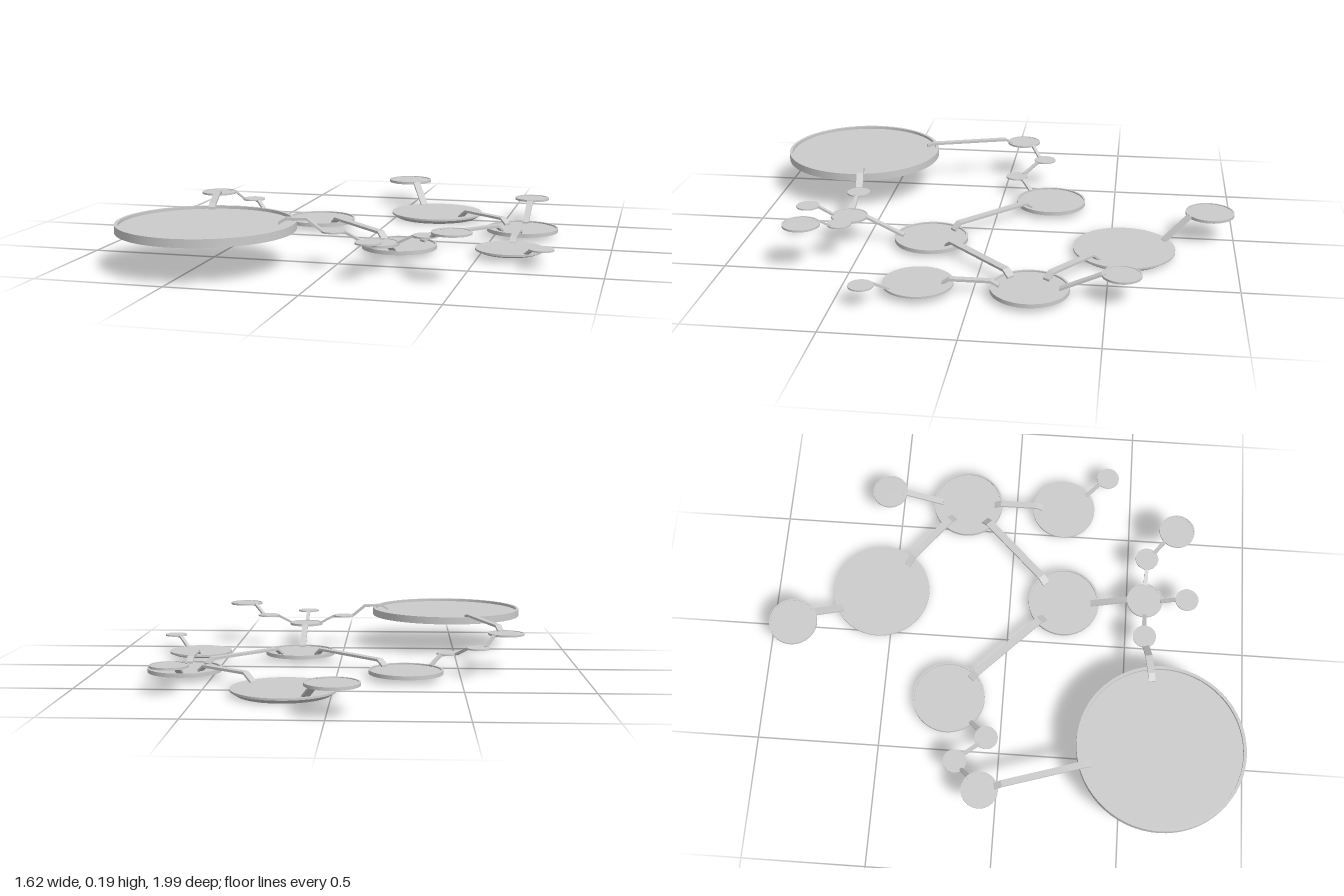
import * as THREE from 'three';

const material = new THREE.MeshStandardMaterial({ color: 0xcccccc, side: THREE.DoubleSide });

// Platforms: x, z, radius, top height, thickness, bottom inset, rim height
const discs = {
  large: [-0.47, 0.65, 0.34, 0.172, 0.032, 0, 0.012],
  west: [-0.28, -0.225, 0.15, 0.036, 0.016, 0, 0.006],
  centre: [0.18, 0.23, 0.15, 0.034, 0.016, 0, 0.006],
  east: [0.615, -0.215, 0.15, 0.036, 0.016, 0, 0.006],
  north: [0.18, -0.555, 0.205, 0.024, 0.024, 0.025, 0],
  farNorth: [-0.02, -0.9, 0.1, 0.115, 0.012, 0, 0.003],
  northEast: [0.615, -0.555, 0.075, 0.107, 0.009, 0, 0.002],
  south: [0.617, 0.207, 0.135, 0.034, 0.016, 0.02, 0],
  southEast: [0.76, 0.393, 0.048, 0.076, 0.006, 0, 0],
  hub: [0.18, 0.57, 0.075, 0.109, 0.01, 0, 0.002],
  hubWest: [0.005, 0.57, 0.048, 0.144, 0.006, 0, 0],
  hubEast: [0.355, 0.57, 0.048, 0.144, 0.006, 0, 0],
  hubSouth: [0.18, 0.743, 0.048, 0.144, 0.006, 0, 0],
  outerEast: [0.473, 0.69, 0.074, 0.186, 0.008, 0, 0.002],
  stepLow: [-0.455, -0.055, 0.048, 0.076, 0.006, 0, 0],
  stepMid: [-0.572, -0.173, 0.048, 0.118, 0.006, 0, 0],
  stepHigh: [-0.692, -0.063, 0.074, 0.162, 0.008, 0, 0.002],
};

// Bridges with a raised flat span: from, to, width, deck height, end insets
const arches = [
  ['west', 'centre', 0.032, 0.06, 0.03, 0.04],
  ['centre', 'east', 0.032, 0.06, 0.04, 0.04],
  ['north', 'east', 0.03, 0.06, 0.045, 0.06],
  ['east', 'south', 0.026, 0.056, 0.035, 0.045],
  ['large', 'hubWest', 0.028, 0.192, 0.065, 0.005],
  ['stepHigh', 'large', 0.027, 0.182, 0.015, 0.05],
];

// Ramps climbing from a lower to a higher platform: from, to, width, inset
const ramps = [
  ['east', 'northEast', 0.026, 0.04],
  ['north', 'farNorth', 0.032, 0.025],
  ['centre', 'hub', 0.026, 0.035],
  ['south', 'southEast', 0.016, 0.015],
  ['hub', 'hubWest', 0.016, 0.01],
  ['hub', 'hubEast', 0.016, 0.01],
  ['hub', 'hubSouth', 0.016, 0.01],
  ['hubEast', 'outerEast', 0.016, 0.01],
  ['west', 'stepLow', 0.018, 0.01],
  ['stepLow', 'stepMid', 0.016, 0.008],
  ['stepMid', 'stepHigh', 0.016, 0.008],
];

// Disc with an optional tapered underside and a recessed floor inside a thin rim
function platform([x, z, r, top, thick, inset, rim]) {
  const base = top - thick;
  const profile = [[0, base], [r - inset, base], [r, top - (inset ? 0.008 : 0)], [r, top]];
  if (rim) {
    const inner = r - 0.004 - r * 0.025;
    profile.push([inner, top], [inner, top - rim]);
  }
  profile.push([0, top - rim]);
  // Short separate bands keep the edges crisp and the round sides smooth
  const group = new THREE.Group();
  for (let i = 0; i < profile.length - 1; i++) {
    if (profile[i][0] === profile[i + 1][0] && profile[i][1] === profile[i + 1][1]) continue;
    const points = [profile[i], profile[i + 1]].map(p => new THREE.Vector2(...p));
    const band = new THREE.Mesh(new THREE.LatheGeometry(points, 64), material);
    band.name = 'platformBand';
    group.add(band);
  }
  group.position.set(x, 0, z);
  return group;
}

// Flat beam between two disc centres, following a side profile of [distance, height]
function beam(a, b, width, path) {
  const thick = 0.01;
  const outline = [...path, ...path.slice().reverse().map(([d, y]) => [d, y - thick])];
  const shape = new THREE.Shape(outline.map(p => new THREE.Vector2(...p)));
  const geometry = new THREE.ExtrudeGeometry(shape, { depth: width, bevelEnabled: false });
  geometry.translate(0, 0, -width / 2);
  const mesh = new THREE.Mesh(geometry, material);
  mesh.position.set(a[0], 0, a[1]);
  mesh.rotation.y = Math.atan2(a[1] - b[1], b[0] - a[0]);
  return mesh;
}

export function createModel() {
  const model = new THREE.Group();
  model.name = 'linkedPlatforms';

  for (const [name, spec] of Object.entries(discs)) {
    const part = platform(spec);
    part.name = name + 'Platform';
    model.add(part);
  }

  for (const [from, to, width, deck, insetA, insetB] of arches) {
    const a = discs[from], b = discs[to];
    const span = Math.hypot(b[0] - a[0], b[1] - a[1]);
    const start = a[2] - insetA, end = span - b[2] + insetB;
    const rise = Math.max(0.025, deck - a[3]), fall = Math.max(0.025, deck - b[3]);
    const part = beam(a, b, width, [
      [start, a[3] + 0.002], [start + rise * 1.2, deck],
      [end - fall * 1.2, deck], [end, b[3] + 0.002],
    ]);
    part.name = from + 'To' + to[0].toUpperCase() + to.slice(1) + 'Bridge';
    model.add(part);
  }

  for (const [from, to, width, inset] of ramps) {
    const a = discs[from], b = discs[to];
    const span = Math.hypot(b[0] - a[0], b[1] - a[1]);
    const edge = span - b[2], under = b[3] - 0.001;
    const part = beam(a, b, width, [
      [a[2] - inset, a[3] + 0.002], [edge, under], [edge + 0.02, under],
    ]);
    part.name = from + 'To' + to[0].toUpperCase() + to.slice(1) + 'Ramp';
    model.add(part);
  }
  return model;
}
